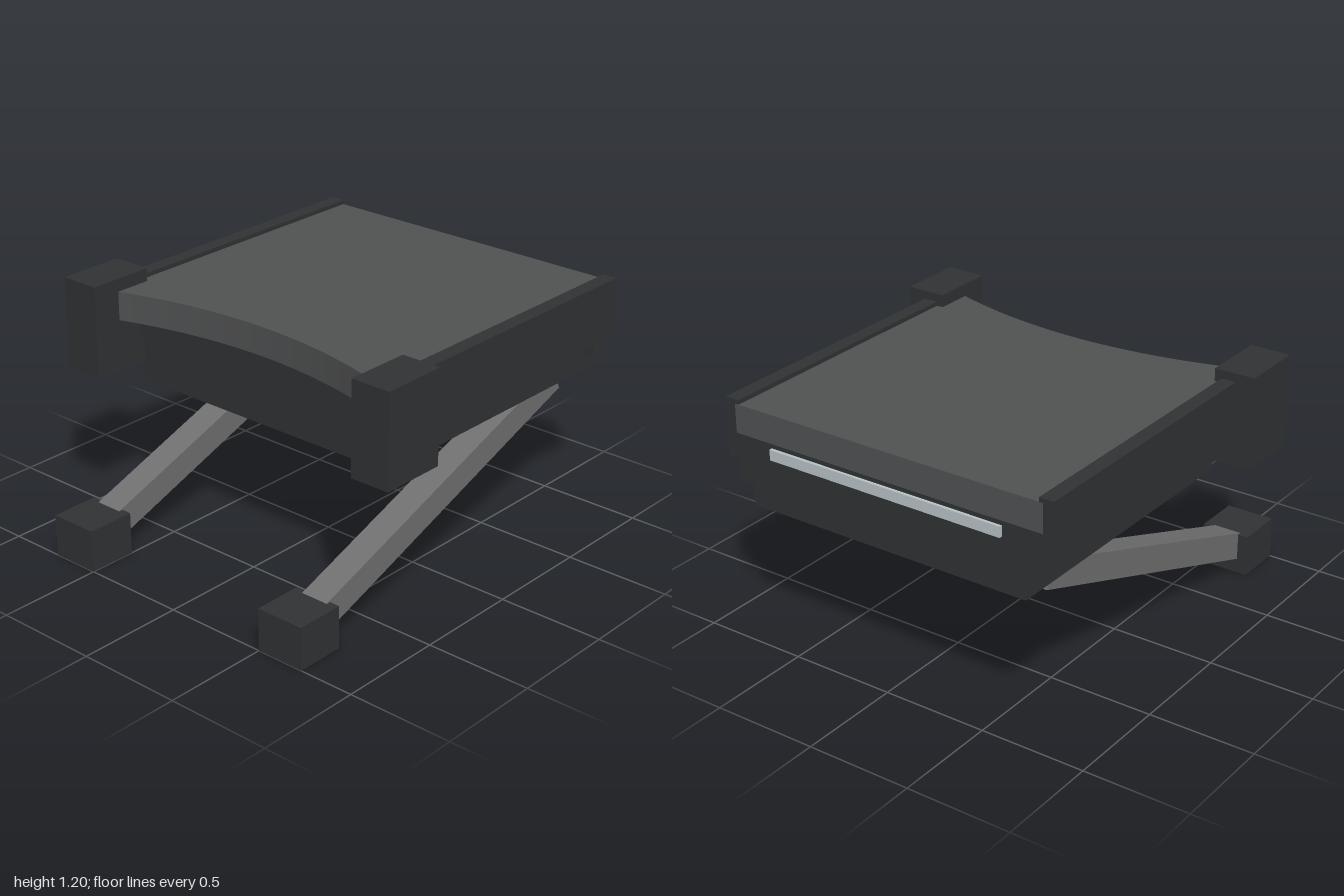
import * as THREE from 'three';

const mat = (color) => new THREE.MeshStandardMaterial({ color });

export function createModel() {
  const model = new THREE.Group();
  const dark = mat(0x303234), deck = mat(0x505152), grey = mat(0x707070), pale = mat(0xb8c2c6);

  // Box given by its lower and upper corners
  const box = (name, material, [x0, y0, z0], [x1, y1, z1]) => {
    const mesh = new THREE.Mesh(new THREE.BoxGeometry(x1 - x0, y1 - y0, z1 - z0), material);
    mesh.position.set((x0 + x1) / 2, (y0 + y1) / 2, (z0 + z1) / 2);
    mesh.name = name;
    model.add(mesh);
    return mesh;
  };

  // Main body: narrow base with a wider upper tray
  box('base', dark, [-0.44, 0.68, -0.71], [0.985, 0.88, 0.71]);
  box('tray', dark, [-0.44, 0.88, -0.78], [0.985, 1.0, 0.78]);

  // Top plate with a concave arc cut into its -x edge
  const plan = new THREE.Shape();
  const half = 0.79, sag = 0.14;
  const radius = (half * half + sag * sag) / (2 * sag);
  const sweep = Math.asin(half / radius);
  plan.moveTo(0.985, -half);
  plan.lineTo(0.985, half);
  plan.lineTo(-0.44 - sag, half);
  plan.absarc(-0.44 - radius, 0, radius, sweep, -sweep, true);
  plan.closePath();
  const plateGeometry = new THREE.ExtrudeGeometry(plan, { depth: 0.135, bevelEnabled: false, curveSegments: 32 });
  plateGeometry.rotateX(-Math.PI / 2);
  const plate = new THREE.Mesh(plateGeometry, deck);
  plate.position.y = 1.0;
  plate.name = 'topPlate';
  model.add(plate);

  // Light strip on the +x end
  box('endStrip', pale, [0.97, 0.93, -0.595], [1.0, 0.98, 0.595]);

  // Mirrored side parts
  for (const s of [-1, 1]) {
    const side = s > 0 ? 'front' : 'back';
    const pair = (name, material, x, y, z) => {
      const zs = [z[0] * s, z[1] * s].sort((a, b) => a - b);
      return box(side + name, material, [x[0], y[0], zs[0]], [x[1], y[1], zs[1]]);
    };
    pair('Rail', dark, [-0.56, 0.985], [0.88, 1.155], [0.77, 0.84]);
    pair('CornerBlock', dark, [-0.7, -0.385], [0.76, 1.195], [0.737, 0.93]);
    pair('EndTab', dark, [0.91, 0.985], [0.78, 0.88], [0.7, 0.79]);
    pair('Foot', dark, [-1, -0.767], [0, 0.2], [0.5, 0.735]);

    // Sloping leg from the foot up into the base
    const leg = new THREE.Mesh(new THREE.BoxGeometry(1.673, 0.128, 0.136), grey);
    leg.position.set(-0.004, 0.413, 0.617 * s);
    leg.rotation.z = Math.atan2(0.565, 1.575);
    leg.name = side + 'Leg';
    model.add(leg);
  }
  return model;
}
